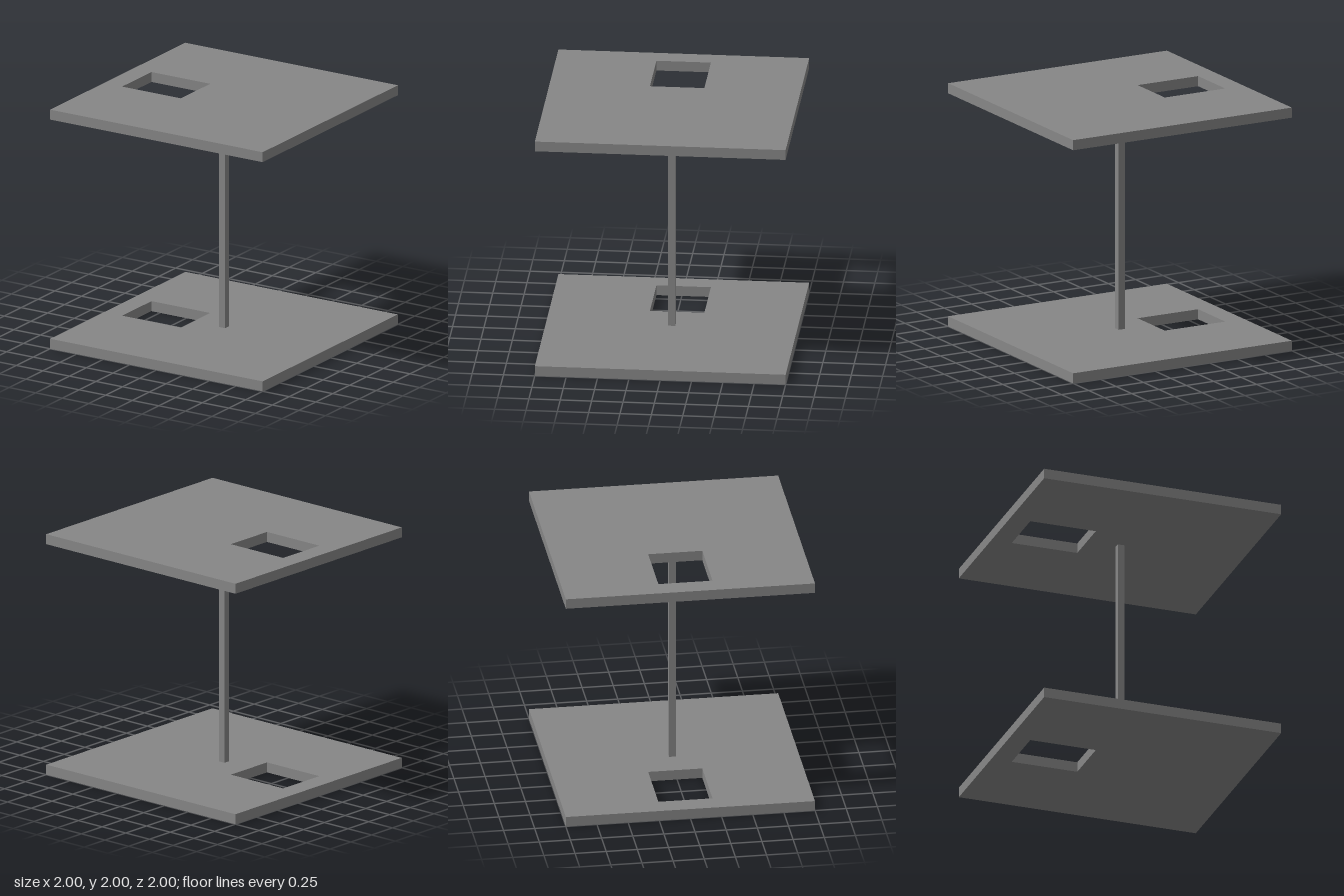
import * as THREE from 'three';

const HEIGHT = 2, THICK = 0.083, POST = 0.058;

export function createModel() {
  const group = new THREE.Group();
  const material = new THREE.MeshStandardMaterial({ color: 0x868686, flatShading: true });

  // Square slab outline with a rectangular opening (shape y becomes -z)
  const rect = (Type, x0, x1, y0, y1) => new Type([
    new THREE.Vector2(x0, y0), new THREE.Vector2(x1, y0),
    new THREE.Vector2(x1, y1), new THREE.Vector2(x0, y1),
  ]);
  const outline = rect(THREE.Shape, -1, 1, -1, 1);
  outline.holes.push(rect(THREE.Path, -0.83, -0.277, -0.202, 0.232));
  const slabGeometry = new THREE.ExtrudeGeometry(outline, { depth: THICK, bevelEnabled: false });
  slabGeometry.rotateX(-Math.PI / 2);

  // Floor and roof slabs
  for (const [name, y] of [['floorSlab', 0], ['roofSlab', HEIGHT - THICK]]) {
    const slab = new THREE.Mesh(slabGeometry, material);
    slab.name = name;
    slab.position.y = y;
    group.add(slab);
  }

  // Central square post between the slabs
  const post = new THREE.Mesh(new THREE.BoxGeometry(POST, HEIGHT - 2 * THICK, POST), material);
  post.name = 'centralPost';
  post.position.y = HEIGHT / 2;
  group.add(post);

  return group;
}
